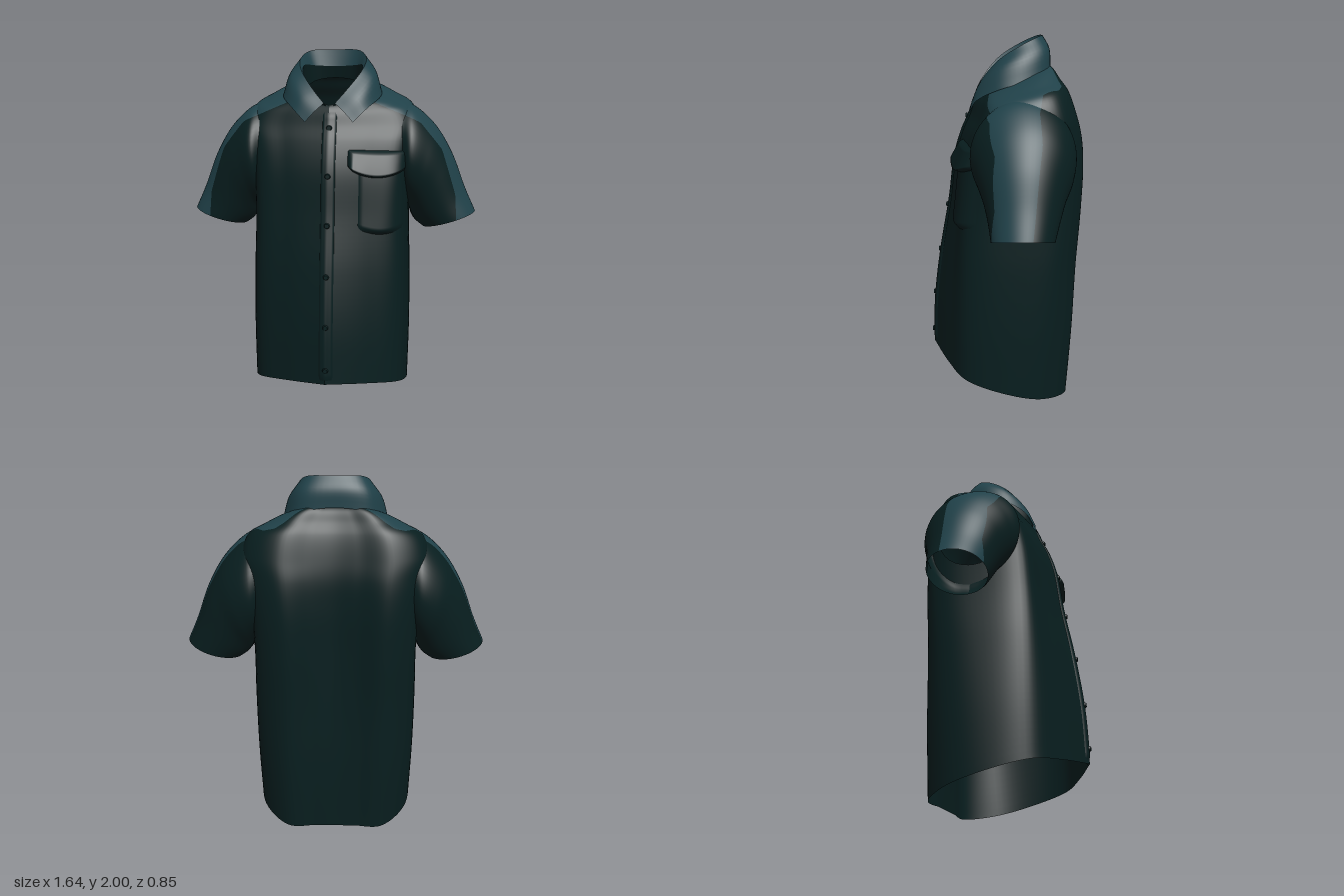
import * as THREE from 'three';

const mat = (name, color) => {
  const m = new THREE.MeshStandardMaterial({ color, side: THREE.DoubleSide });
  m.name = name;
  return m;
};
const V = (x, y, z) => new THREE.Vector3(x, y, z);
const lerp = THREE.MathUtils.lerp;

// Smooth surface through rows of control points
function loft(rows, nu, nv, smoothRows = true) {
  const cols = rows.map(r => new THREE.CatmullRomCurve3(r).getPoints(nu));
  const pos = [], idx = [];
  for (let j = 0; j <= nu; j++) {
    const across = cols.map(c => c[j]);
    const pts = smoothRows && across.length > 2
      ? new THREE.CatmullRomCurve3(across).getPoints(nv)
      : Array.from({ length: nv + 1 }, (_, i) => {
          const t = i / nv * (across.length - 1), k = Math.min(Math.floor(t), across.length - 2);
          return across[k].clone().lerp(across[k + 1], t - k);
        });
    pts.forEach(p => pos.push(p.x, p.y, p.z));
  }
  const n = nv + 1;
  for (let j = 0; j < nu; j++) for (let i = 0; i < nv; i++) {
    const a = j * n + i, b = a + n;
    idx.push(a, b, a + 1, b, b + 1, a + 1);
  }
  const g = new THREE.BufferGeometry();
  g.setAttribute('position', new THREE.Float32BufferAttribute(pos, 3));
  g.setIndex(idx);
  g.computeVertexNormals();
  return g;
}

// Cuts a geometry along rule = 0; returns [positive side, negative side]
function cut(geo, rule) {
  const g = geo.index ? geo.toNonIndexed() : geo, P = g.attributes.position, N = g.attributes.normal;
  return [1, -1].map(sign => {
    const pos = [], nor = [];
    for (let i = 0; i < P.count; i += 3) {
      const tri = [0, 1, 2].map(k => {
        const p = new THREE.Vector3().fromBufferAttribute(P, i + k);
        return { p, n: new THREE.Vector3().fromBufferAttribute(N, i + k), d: sign * rule(p) };
      });
      const poly = [];
      tri.forEach((a, k) => {
        const b = tri[(k + 1) % 3];
        if (a.d >= 0) poly.push(a);
        if ((a.d >= 0) !== (b.d >= 0)) {
          const t = a.d / (a.d - b.d);
          poly.push({ p: a.p.clone().lerp(b.p, t), n: a.n.clone().lerp(b.n, t).normalize() });
        }
      });
      for (let k = 1; k + 1 < poly.length; k++)
        [poly[0], poly[k], poly[k + 1]].forEach(v => { pos.push(...v.p.toArray()); nor.push(...v.n.toArray()); });
    }
    const out = new THREE.BufferGeometry();
    out.setAttribute('position', new THREE.Float32BufferAttribute(pos, 3));
    out.setAttribute('normal', new THREE.Float32BufferAttribute(nor, 3));
    return out;
  });
}

// Piecewise linear lookup
function table(pts, x) {
  for (let i = 1; i < pts.length; i++)
    if (x <= pts[i][0]) return lerp(pts[i - 1][1], pts[i][1], (x - pts[i - 1][0]) / (pts[i][0] - pts[i - 1][0]));
  return pts[pts.length - 1][1];
}

// Shoulder panel: front seam as x over y, back seam as z over x
const frontSeam = [[0.95, 0.71], [1.2, 0.695], [1.45, 0.615], [1.6, 0.49], [1.7, 0.25], [1.76, 0.08]];
const backSeam = [[0, -0.2], [0.15, -0.25], [0.3, -0.3], [0.36, -0.28], [0.42, -0.2], [0.5, -0.18], [0.62, -0.19], [0.82, -0.14]];
const panelRule = p => {
  const x = Math.abs(p.x);
  return Math.min(x - table(frontSeam, p.y) + 1.2 * Math.max(0, -0.1 - p.z), p.z - table(backSeam, x));
};
// Armhole: negative inside the opening that leads into the sleeve
const armholeRule = p => Math.max(0.39 - Math.abs(p.x), Math.hypot(p.y - 1.42, p.z + 0.1) - 0.2);

const mirrorRow = half => [...half, ...half.slice(0, -1).reverse().map(p => V(-p.x, p.y, p.z))];

export function createModel() {
  const root = new THREE.Group();
  root.name = 'shirt';
  const dark = mat('dark green cloth', 0x081e1f);
  const light = mat('teal cloth', 0x204149);
  const add = (name, geo, m) => {
    const mesh = new THREE.Mesh(geo, m);
    mesh.name = name;
    root.add(mesh);
    return mesh;
  };

  // Body sections, hem to neck: front y, back y, half width, front z, side z, back z, back dip, side fall
  const bodyRows = [
    [0.2, 0, 0.45, 0.415, 0, -0.36, 0, 0.51],
    [0.5, 0.4, 0.455, 0.4, -0.02, -0.385, 0.02, 0.48],
    [0.8, 0.78, 0.45, 0.36, -0.05, -0.4, 0.04, 0.41],
    [1.1, 1.1, 0.44, 0.305, -0.08, -0.42, 0.06, 0.33],
    [1.35, 1.35, 0.45, 0.27, -0.1, -0.425, 0.06, 0.31],
    [1.5, 1.5, 0.47, 0.225, -0.1, -0.41, 0.05, 0.33],
    [1.58, 1.61, 0.49, 0.188, -0.1, -0.38, 0.04, 0.4],
    [1.64, 1.73, 0.45, 0.168, -0.09, -0.335, 0.03, 0.46],
    [1.665, 1.785, 0.37, 0.157, -0.07, -0.295, 0.02, 0.48],
    [1.68, 1.835, 0.28, 0.147, -0.06, -0.26, 0.01, 0.46],
    [1.69, 1.86, 0.18, 0.137, -0.05, -0.22, 0, 0.45],
  ].map(([yf, yb, w, f, s, b, dip, k]) => {
    const at = (x, z) => V(x * w, lerp(yb, yf, (z - b) / (f - b)), z);
    return mirrorRow([
      at(0, f), at(0.5, lerp(f, s, 0.47 * k)), at(0.88, lerp(f, s, k)), at(1, s),
      at(0.93, lerp(s, b, 0.58 + 2.4 * dip)), at(0.6, b), at(0.25, b + dip * 0.7), at(0, b + dip)]);
  });
  const bodyGeo = loft(bodyRows, 112, 90);
  const [yoke, torso] = cut(cut(bodyGeo, armholeRule)[0], panelRule);
  add('shoulderYoke', yoke, light);
  add('torso', torso, dark);

  // Sleeves: outer point, inner point, front z, back z
  const rings = [
    [0.395, 1.705, 0.385, 1.19, 0.135, -0.35], [0.46, 1.685, 0.41, 1.15, 0.165, -0.37],
    [0.58, 1.58, 0.44, 1.1, 0.135, -0.355], [0.68, 1.42, 0.455, 1.06, 0.1, -0.315],
    [0.76, 1.22, 0.48, 1.025, 0.072, -0.28], [0.82, 1.09, 0.52, 0.995, 0.058, -0.255]];
  for (const s of [1, -1]) {
    const rows = rings.map(([ox, oy, ix, iy, zf, zb]) => Array.from({ length: 17 }, (_, i) => {
      const a = i / 16 * Math.PI * 2, t = (1 - Math.cos(a)) / 2;
      return V(s * lerp(ix, ox, t), lerp(iy, oy, t), (zf + zb) / 2 + s * Math.sin(a) * (zf - zb) / 2);
    }));
    const side = s > 0 ? 'left' : 'right';
    const [panel, sleeve] = cut(loft(rows, 64, 40), panelRule);
    add(side + 'SleevePanel', panel, light);
    add(side + 'Sleeve', sleeve, dark);
  }

  // Collar: folded leaf outside, stand inside
  const half = list => mirrorRow(list.map(p => V(...p)));
  const leafEdge = half([[0.13, 1.6, 0.178], [0.2, 1.67, 0.138], [0.272, 1.735, 0.015], [0.265, 1.775, -0.12], [0.18, 1.825, -0.235], [0, 1.85, -0.255]]);
  const leafMid = half([[0.08, 1.655, 0.168], [0.16, 1.735, 0.13], [0.232, 1.835, 0.02], [0.235, 1.885, -0.11], [0.165, 1.925, -0.225], [0, 1.935, -0.25]]);
  const fold = half([[0.03, 1.7, 0.148], [0.09, 1.77, 0.115], [0.17, 1.88, 0.02], [0.185, 1.95, -0.09], [0.135, 1.995, -0.185], [0, 2.0, -0.215]]);
  const bandEdge = half([[0.025, 1.696, 0.14], [0.086, 1.762, 0.105], [0.157, 1.862, 0.018], [0.163, 1.91, -0.085], [0.12, 1.91, -0.17], [0, 1.905, -0.2]]);
  const neckline = half([[0.015, 1.67, 0.133], [0.09, 1.675, 0.1], [0.17, 1.725, 0], [0.172, 1.755, -0.08], [0.12, 1.82, -0.19], [0, 1.84, -0.22]]);
  add('collarLeaf', loft([leafEdge, leafMid, fold], 60, 10), light);
  add('collarInside', loft([fold, bandEdge], 60, 3), light);
  add('collarStand', loft([bandEdge, neckline], 60, 4), dark);

  // Finds the body's front surface so that details lie on it
  const probe = new THREE.Mesh(bodyGeo, dark);
  const ray = new THREE.Raycaster();
  const frontZ = (x, y) => {
    ray.set(V(x, y, 2), V(0, 0, -1));
    const hit = ray.intersectObject(probe)[0];
    return hit ? hit.point.z : 0;
  };
  // Padded patch on the front, bounded by x0..x1 and the two edge curves
  const patch = (x0, x1, top, bottom, lift, nx, ny) => {
    const rows = [];
    for (let i = 0; i <= ny; i++) {
      const row = [];
      for (let j = 0; j <= nx; j++) {
        const u = j / nx, x = lerp(x0, x1, u), y = lerp(bottom(u), top(u), i / ny);
        const edge = i === 0 || i === ny || j === 0 || j === nx;
        row.push(V(x, y, frontZ(x, y) + (edge ? -0.004 : lift(u, i / ny))));
      }
      rows.push(row);
    }
    return loft(rows, nx * 2, ny * 2, false);
  };

  // Button placket
  add('placket', patch(-0.036, 0.046, () => 1.67, () => 0.206, () => 0.006, 8, 40), dark);
  for (const y of [0.28, 0.52, 0.79, 1.06, 1.32, 1.57]) {
    const b = add('button', new THREE.CylinderGeometry(0.012, 0.016, 0.01, 16), dark);
    b.rotation.x = Math.PI / 2;
    b.position.set(0.004, y, frontZ(0.004, y) + 0.009);
  }

  // Chest pocket with flap
  add('pocket', patch(0.16, 0.42, () => 1.4, u => 1.03 - 0.03 * Math.sin(u * Math.PI),
    (u, v) => 0.004 + 0.022 * Math.sin(u * Math.PI) * (1 - 0.4 * v), 12, 14), dark);
  add('pocketFlap', patch(0.105, 0.43, u => 1.46 - 0.01 * u, u => 1.37 - 0.065 * Math.sin(u * Math.PI) ** 0.7 - 0.005 * u,
    (u, v) => 0.012 + 0.035 * (1 - v) + 0.012 * Math.sin(u * Math.PI), 14, 8), dark);

  return root;
}
